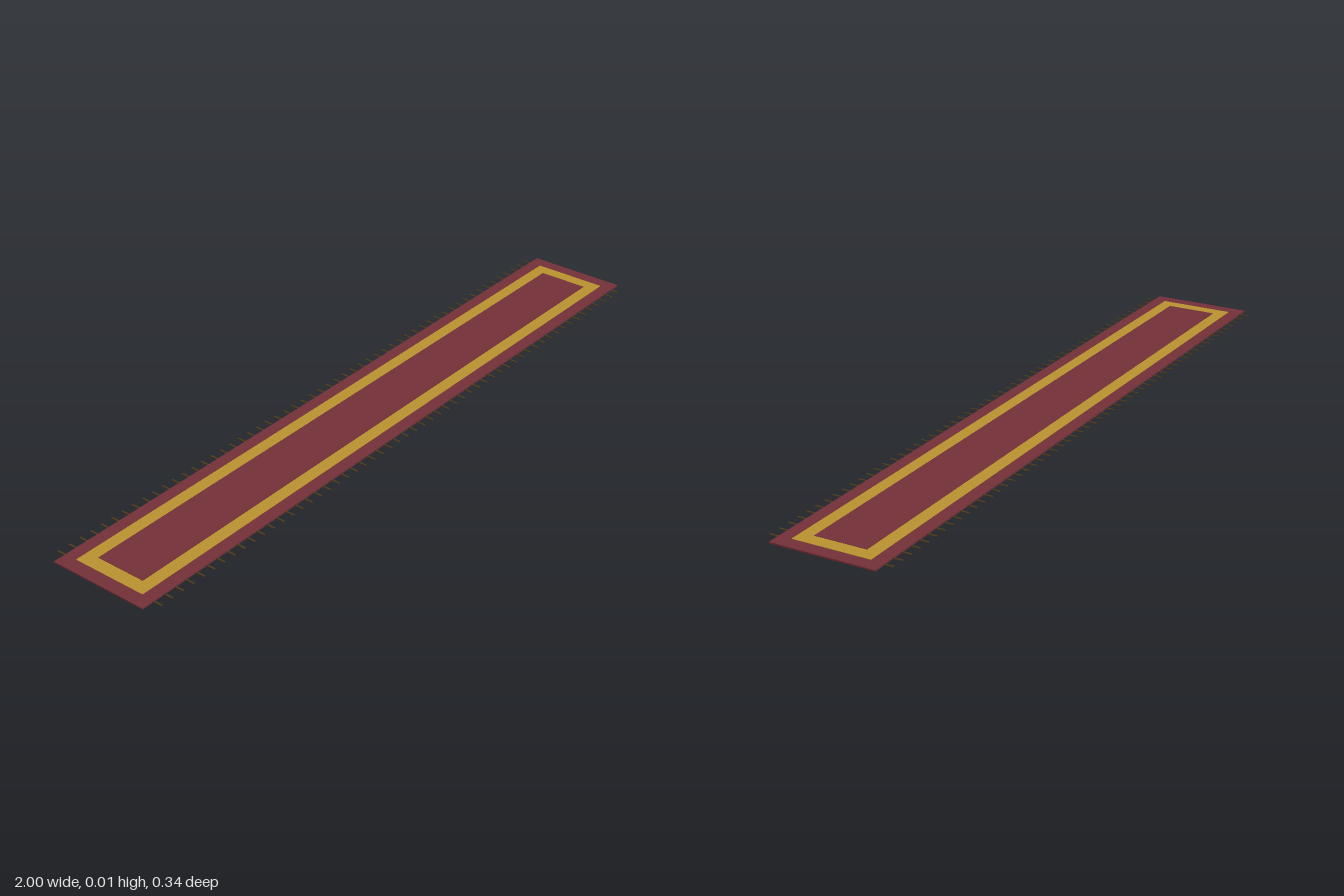
import * as THREE from 'three';

const WINE = new THREE.MeshStandardMaterial({ color: 0x722f37 });
const GOLD = new THREE.MeshStandardMaterial({ color: 0xb8902f });
const THREAD = new THREE.MeshStandardMaterial({ color: 0x4a3a1c });

const MID = 0.0035; // height of the rug's middle plane

// Flat slab centred on the middle plane
function slab(name, width, thickness, depth, material, x = 0, z = 0) {
  const mesh = new THREE.Mesh(new THREE.BoxGeometry(width, thickness, depth), material);
  mesh.name = name;
  mesh.position.set(x, MID, z);
  return mesh;
}

export function createModel() {
  const rug = new THREE.Group();
  rug.name = 'runnerRug';

  // Woven body, gold border and inner field, each slightly thicker than the last
  rug.add(slab('rugBody', 2, 0.004, 0.286, WINE));
  rug.add(slab('goldBorder', 1.926, 0.0055, 0.215, GOLD));
  rug.add(slab('innerField', 1.852, 0.007, 0.144, WINE));

  // Fringe threads along both long edges
  const fringe = new THREE.Group();
  fringe.name = 'fringe';
  const count = 56, reach = 0.963;
  for (const side of [-1, 1]) {
    for (let i = 0; i < count; i++) {
      const x = -reach + (2 * reach * i) / (count - 1);
      fringe.add(slab('fringeThread', 0.005, 0.002, 0.028, THREAD, x, side * 0.154));
    }
  }
  rug.add(fringe);
  return rug;
}
